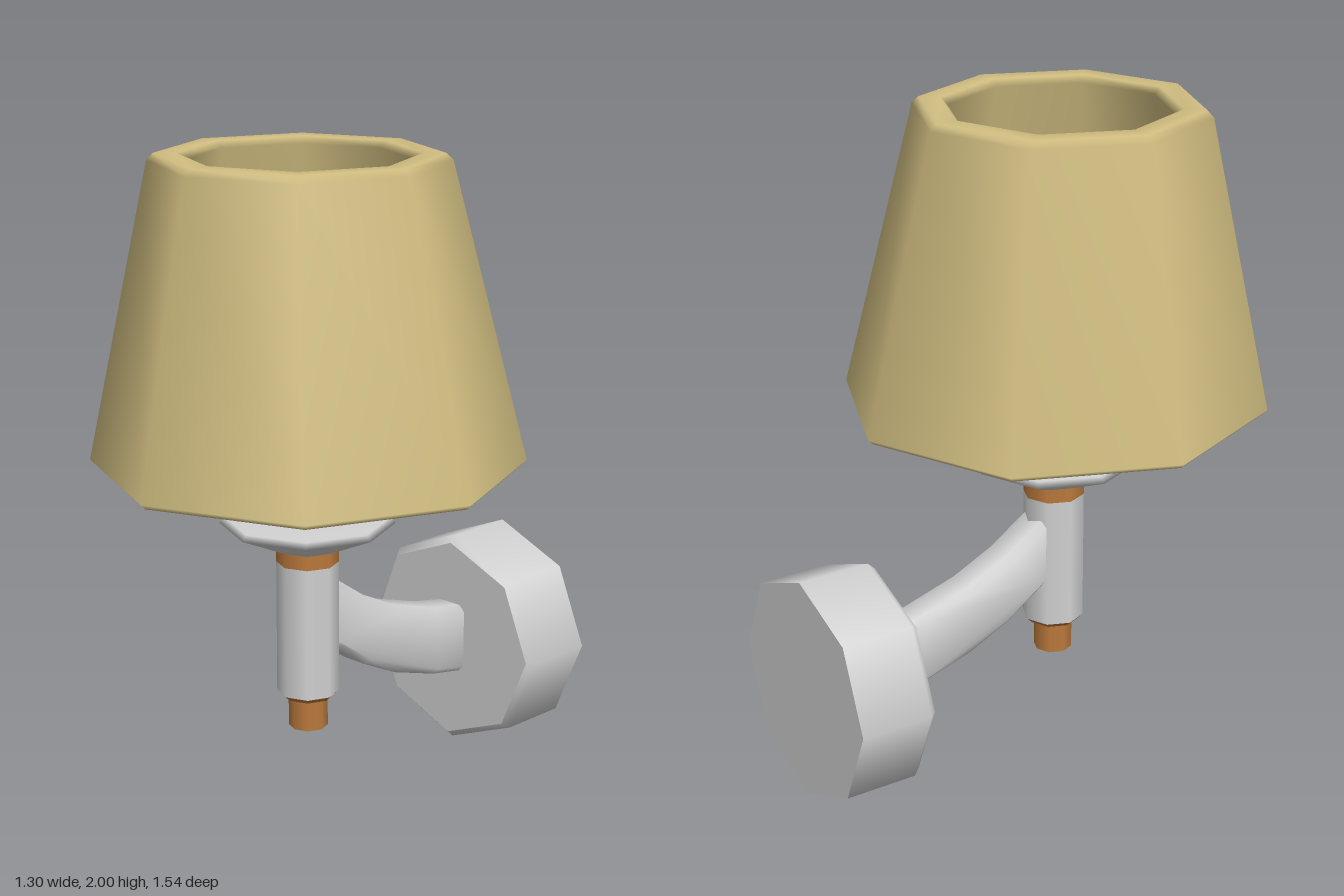
import * as THREE from 'three';
import { toCreasedNormals } from 'three/addons/utils/BufferGeometryUtils.js';

export function createModel() {
  const group = new THREE.Group();
  const material = (name, color) => {
    const m = new THREE.MeshStandardMaterial({ color });
    m.name = name;
    return m;
  };
  const shadeCloth = material('shade cloth', 0xd1be81);
  const metal = material('pale metal', 0xd2d2d2);
  const copper = material('copper', 0xbb7a3c);
  const candle = material('candle sleeve', 0xab9992);

  const add = (name, geometry, mat, x, y, z) => {
    const mesh = new THREE.Mesh(geometry, mat);
    mesh.name = name;
    mesh.position.set(x, y, z);
    group.add(mesh);
  };
  // Eight-sided turned part from [radius, height] points, bottom to top;
  // a repeated point makes a sharp edge
  const turned = (points) =>
    new THREE.LatheGeometry(points.map(([r, y]) => new THREE.Vector2(r, y)), 8);
  const X = -0.005, Z = 0.12;
  const onStem = (name, points, mat) => add(name, turned(points), mat, X, 0, Z);

  // Thick tapered shade, open at both ends, leaning very slightly to its right
  const shade = turned([
    [0.59, 0], [0.635, 0], [0.65, 0.015], [0.442, 0.905], [0.422, 0.925],
    [0.355, 0.925], [0.335, 0.905], [0.535, 0.015], [0.55, 0], [0.59, 0],
  ]);
  shade.applyMatrix4(new THREE.Matrix4().makeShear(0, 0, -0.016, 0, 0, 0));
  const pos = shade.attributes.position;
  for (let i = 0; i < pos.count; i++) {
    const lean = -0.018 * pos.getY(i);
    pos.setX(i, pos.getX(i) + lean);
  }
  add('shade', shade, shadeCloth, 0, 1.075, Z);

  // Upright stem
  onStem('stemFoot', [[0, 0.24], [0.06, 0.24], [0.06, 0.24], [0.06, 0.35]], copper);
  onStem('stemLowerTrim', [[0, 0.34], [0.08, 0.34], [0.08, 0.34], [0.095, 0.355]], copper);
  onStem('stem', [[0.095, 0.355], [0.095, 0.77]], metal);
  onStem('stemCollar', [[0.095, 0.77], [0.095, 0.82]], copper);
  onStem('dripDish', [[0.08, 0.815], [0.095, 0.815], [0.265, 0.892], [0.25, 0.91], [0, 0.91]], metal);
  onStem('candleSleeve', [[0.095, 0.905], [0.095, 1.22], [0.095, 1.22], [0, 1.22]], candle);
  onStem('bulb', [
    [0, 1.215], [0.09, 1.215], [0.09, 1.215], [0.115, 1.3], [0.123, 1.36],
    [0.11, 1.43], [0.075, 1.48], [0.04, 1.505], [0, 1.515],
  ], metal);

  // Four flattened spokes that hold the shade
  for (let i = 0; i < 4; i++) {
    const spoke = new THREE.CylinderGeometry(0.032, 0.032, 0.46, 8);
    spoke.rotateX(Math.PI / 2).scale(1, 0.7, 1).translate(0, 0, 0.28).rotateY(i * Math.PI / 2);
    add('shadeSpoke', spoke, metal, X, 1.15, Z + 0.015);
  }

  // Wall plate
  const plate = turned([
    [0, -0.775], [0.35, -0.775], [0.35, -0.775], [0.35, -0.545], [0.328, -0.522], [0.328, -0.522], [0, -0.522],
  ]);
  plate.rotateX(Math.PI / 2);
  add('wallPlate', plate, metal, X, 0.351, 0);

  // Curved arm from wall plate to stem, bevelled along its edges
  const lower = [[-0.07, 0.498], [-0.04, 0.477], [0.08, 0.395], [0.22, 0.328], [0.4, 0.273], [0.56, 0.244]];
  const upper = lower.map(([u, y]) => [u, y + 0.226]).reverse();
  const outline = new THREE.Shape([...lower, ...upper].map(([u, y]) => new THREE.Vector2(u, y)));
  const arm = new THREE.ExtrudeGeometry(outline, {
    depth: 0.085, bevelEnabled: true, bevelThickness: 0.02, bevelSize: 0.02, bevelOffset: -0.02, bevelSegments: 1,
  });
  arm.translate(0, 0, -0.0425).rotateY(Math.PI / 2);
  add('arm', toCreasedNormals(arm, 1.2), metal, X, 0, 0);

  return group;
}
